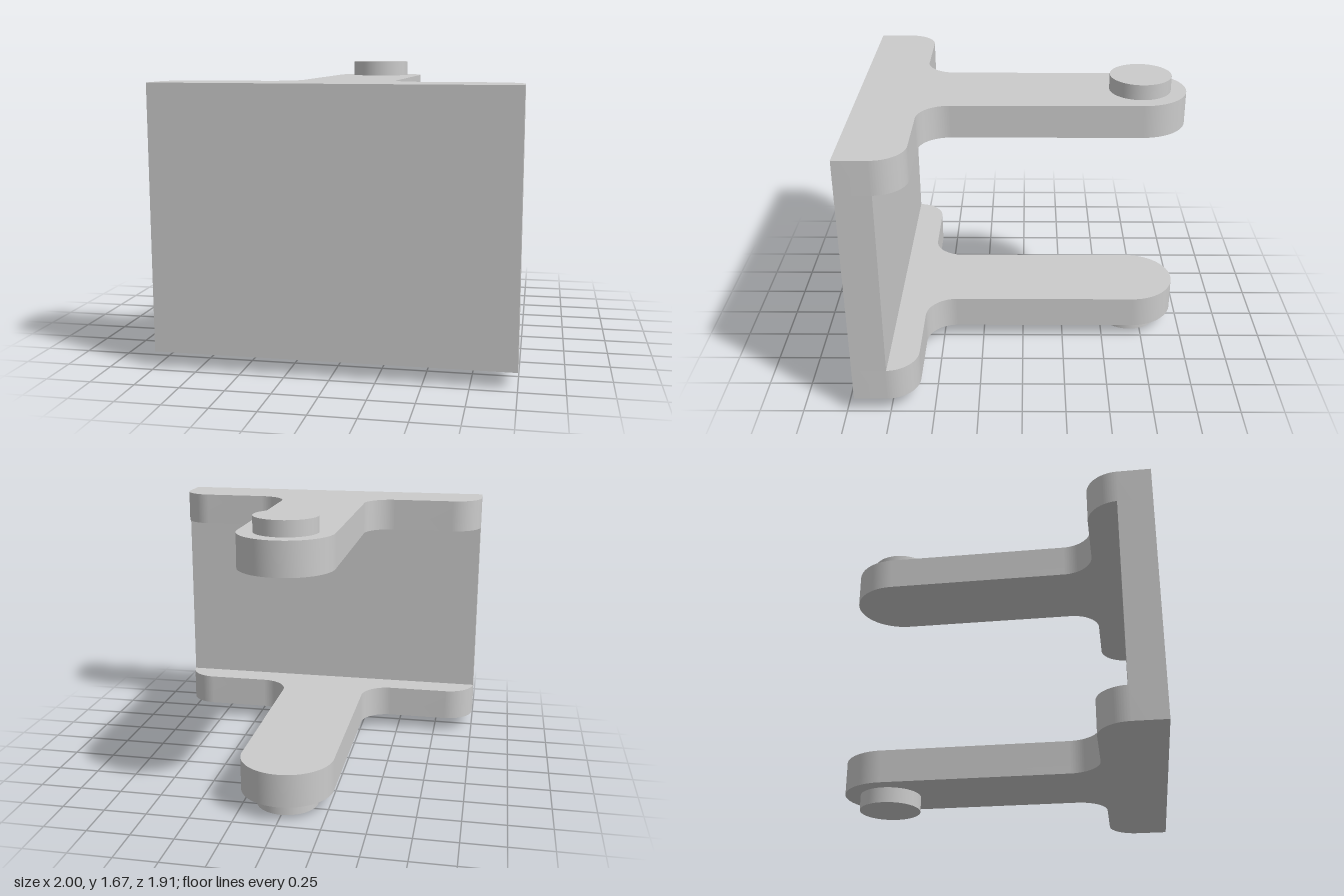
import * as THREE from 'three';
import { toCreasedNormals } from 'three/addons/utils/BufferGeometryUtils.js';

const FRONT = 0.955, BOTTOM = 0.09, TOP = 1.58, THICK = 0.195;
const PIN_Z = -0.685, ARM_HALF = 0.27, SHOULDER = 0.59, R = 0.18;

// T-shaped outline drawn in x and z
function armOutline() {
  const s = new THREE.Shape();
  const corner = 1 - R, fillet = ARM_HALF + R, q = Math.PI / 2;
  s.moveTo(-1, FRONT);
  s.lineTo(1, FRONT);
  s.absarc(corner, SHOULDER + R, R, 0, -q, true);
  s.absarc(fillet, SHOULDER - R, R, q, 2 * q, false);
  s.absarc(0, PIN_Z, ARM_HALF, 0, -2 * q, true);
  s.absarc(-fillet, SHOULDER - R, R, 0, q, false);
  s.absarc(-corner, SHOULDER + R, R, -q, -2 * q, true);
  s.closePath();
  return s;
}

export function createModel() {
  const model = new THREE.Group();
  model.name = 'bracket';
  const material = new THREE.MeshStandardMaterial({ color: 0xcccccc });
  const add = (name, geometry, x, y, z) => {
    const mesh = new THREE.Mesh(geometry, material);
    mesh.name = name;
    mesh.position.set(x, y, z);
    model.add(mesh);
  };

  // Upright plate between the two arms
  const plateHeight = TOP - BOTTOM - 2 * THICK;
  add('frontPlate', new THREE.BoxGeometry(2, plateHeight, THICK), 0, (TOP + BOTTOM) / 2, FRONT - THICK / 2);

  // Two flat arms; the extrusion runs downward from each top face
  const extruded = new THREE.ExtrudeGeometry(armOutline(), { depth: THICK, bevelEnabled: false, curveSegments: 24 });
  extruded.rotateX(Math.PI / 2);
  const arm = toCreasedNormals(extruded, Math.PI / 6);
  add('upperArm', arm, 0, TOP, 0);
  add('lowerArm', arm, 0, BOTTOM + THICK, 0);

  // Round pins on the outer faces of the arms
  const pin = new THREE.CylinderGeometry(0.18, 0.18, BOTTOM, 48);
  add('upperPin', pin, 0, TOP + BOTTOM / 2, PIN_Z);
  add('lowerPin', pin, 0, BOTTOM / 2, PIN_Z);

  return model;
}
